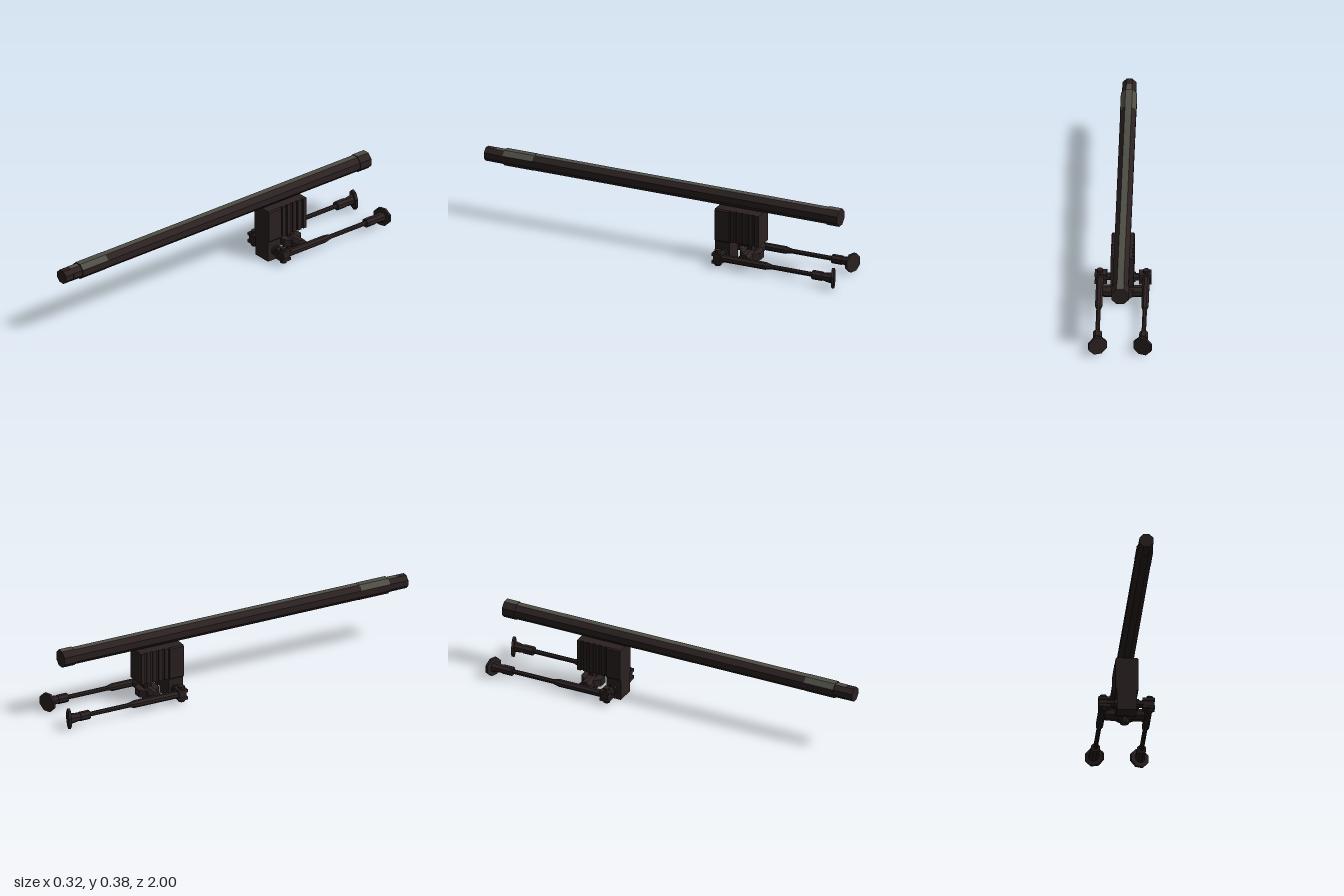
import * as THREE from 'three';

export function createModel() {
  const model = new THREE.Group();
  const dark = new THREE.MeshStandardMaterial({ color: 0x2b2121 });
  dark.name = 'darkMetal';
  const worn = new THREE.MeshStandardMaterial({ color: 0x4d4d45 });
  worn.name = 'wornGreyMetal';

  // Faceted normals for every part
  function add(parent, name, geometry, x, y, z, material = dark) {
    const g = geometry.index ? geometry.toNonIndexed() : geometry;
    g.computeVertexNormals();
    const mesh = new THREE.Mesh(g, material);
    mesh.name = name;
    mesh.position.set(x, y, z);
    parent.add(mesh);
    return mesh;
  }
  const box = (w, h, d) => new THREE.BoxGeometry(w, h, d);
  // Octagonal prism measured across its flats, along the chosen axis
  function octagon(half, length, axis, halfEnd = half) {
    const k = Math.cos(Math.PI / 8);
    const g = new THREE.CylinderGeometry(half / k, halfEnd / k, length, 8, 1, false, Math.PI / 8);
    if (axis === 'z') g.rotateX(Math.PI / 2);
    if (axis === 'x') g.rotateZ(-Math.PI / 2);
    return g;
  }

  // Barrel sections: facet 3 faces up, 2 and 4 are its upper bevels
  const barrel = new THREE.Group();
  barrel.name = 'barrel';
  model.add(barrel);
  function barrelSection(name, half, z0, z1, wornFacets) {
    const g = octagon(half, z1 - z0, 'z').toNonIndexed();
    g.clearGroups();
    for (let i = 0; i < 8; i++) g.addGroup(i * 6, 6, wornFacets.includes(i) ? 1 : 0);
    g.addGroup(48, 48, 0);
    add(barrel, name, g, 0, 0.338, (z0 + z1) / 2, [dark, worn]);
  }
  barrelSection('muzzle', 0.035, 0.89, 1, []);
  barrelSection('muzzleWornTop', 0.0355, 0.89, 0.95, [3]);
  barrelSection('wornBarrelSection', 0.041, 0.73, 0.895, [2, 3, 4]);
  barrelSection('mainBarrel', 0.04, -0.91, 0.73, [3]);
  barrelSection('breechRing', 0.0435, -0.965, -0.895, [3]);

  // Mount block with chamfered shoulders
  const profile = new THREE.Shape([
    [-0.05, 0.003], [0.05, 0.003], [0.05, 0.112], [0.058, 0.12], [0.058, 0.281],
    [0.052, 0.288], [-0.052, 0.288], [-0.058, 0.281], [-0.058, 0.12], [-0.05, 0.112],
  ].map(([x, y]) => new THREE.Vector2(x, y)));
  add(model, 'mountBlock',
    new THREE.ExtrudeGeometry(profile, { depth: 0.08, bevelEnabled: false }), 0, 0, -0.372);

  // Ribbed rear housing
  add(model, 'housingCore', box(0.1, 0.168, 0.165), 0, 0.204, -0.452);
  for (let i = 0; i < 5; i++) {
    add(model, 'housingRib', box(0.116, 0.168, 0.022), 0, 0.204, -0.39 - i * 0.0335);
  }

  // Knob and crossbar beneath the housing
  add(model, 'knobPost', octagon(0.022, 0.115, 'y'), 0, 0.0655, -0.472);
  add(model, 'knobDisc', octagon(0.056, 0.038, 'y'), 0, 0.056, -0.472);
  add(model, 'crossbar', octagon(0.029, 0.2, 'x'), 0, 0.056, -0.472);

  // Folded legs, one on each side
  for (const side of [1, -1]) {
    const leg = new THREE.Group();
    leg.name = side > 0 ? 'leftLeg' : 'rightLeg';
    model.add(leg);
    const x = 0.116 * side;
    const y = 0.055;
    add(leg, 'hingeCollar', octagon(0.024, 0.014, 'x'), 0.056 * side, y, -0.338);
    add(leg, 'hingeAxle', octagon(0.018, 0.05, 'x'), 0.073 * side, y, -0.338);
    for (const dy of [-0.02, 0.02]) {
      add(leg, 'hingePlate', box(0.062, 0.016, 0.05), 0.111 * side, y + dy, -0.34);
    }
    add(leg, 'hingeCore', box(0.05, 0.026, 0.04), 0.115 * side, y, -0.342);
    add(leg, 'hingePin', octagon(0.016, 0.083, 'y'), x, y, -0.338);
    add(leg, 'upperTube', octagon(0.018, 0.245, 'z'), x, y, -0.4825);
    add(leg, 'tubeTaper', octagon(0.018, 0.03, 'z', 0.012), x, y, -0.62);
    add(leg, 'lowerTube', octagon(0.011, 0.25, 'z'), x, y, -0.755);
    add(leg, 'ankleCollar', octagon(0.022, 0.055, 'z'), x, y, -0.8925);
    add(leg, 'ankleNeck', octagon(0.018, 0.06, 'z', 0.026), x, y, -0.945);
    const foot = add(leg, 'foot', octagon(0.047, 0.014, 'z'), 0.113 * side, 0.054, -0.977);
    foot.rotation.y = 0.34 * side;
  }
  return model;
}
